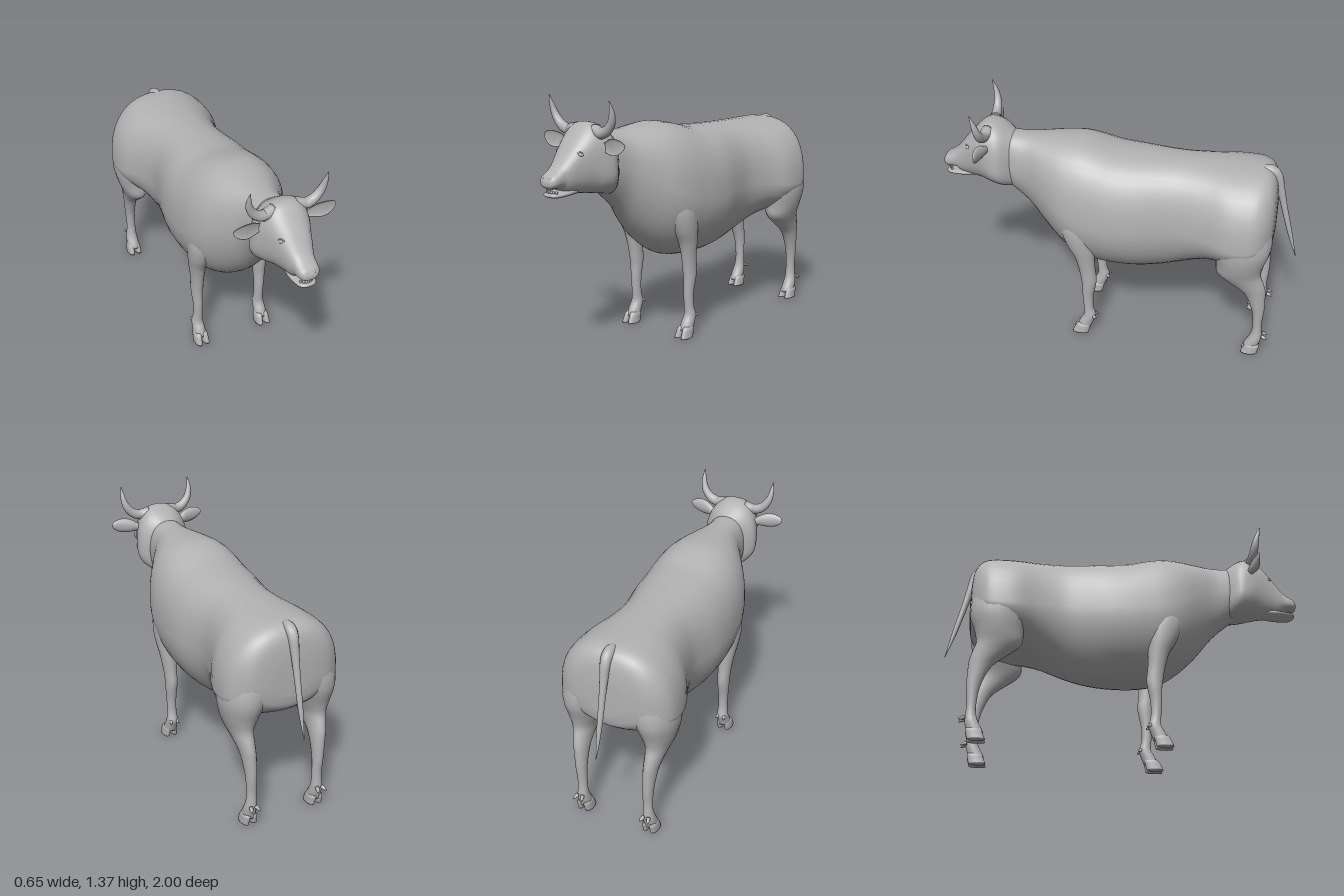
import * as THREE from 'three';

const hide = new THREE.MeshStandardMaterial({ color: 0xb2b2b2 });
hide.name = 'grey hide';

const spow = (v, p) => Math.sign(v) * Math.abs(v) ** p;

// Smoothly resample rows of section parameters
function smoothRows(rows, steps = 3) {
  const out = [];
  for (let i = 0; i < rows.length - 1; i++) {
    const [a, b, c, d] = [rows[Math.max(i - 1, 0)], rows[i], rows[i + 1], rows[Math.min(i + 2, rows.length - 1)]];
    for (let s = 0; s < steps; s++) {
      const t = s / steps;
      out.push(b.map((_, k) => b[k] + 0.5 * t * (c[k] - a[k] + t * (2 * a[k] - 5 * b[k] + 4 * c[k] - d[k]
        + t * (3 * (b[k] - c[k]) + d[k] - a[k])))));
    }
  }
  out.push(rows[rows.length - 1]);
  return out;
}

// Closed skin over a list of rings, always wound outwards
function skin(rings) {
  const n = rings[0].length, pos = [], idx = [];
  rings.forEach(r => r.forEach(p => pos.push(...p)));
  for (let i = 0; i < rings.length - 1; i++) {
    for (let j = 0; j < n; j++) {
      const a = i * n + j, b = i * n + (j + 1) % n;
      idx.push(a, b, a + n, b, b + n, a + n);
    }
  }
  [0, rings.length - 1].forEach((r, end) => {
    const c = pos.length / 3;
    pos.push(...[0, 1, 2].map(k => rings[r].reduce((s, p) => s + p[k], 0) / n));
    for (let j = 0; j < n; j++) {
      const a = r * n + j, b = r * n + (j + 1) % n;
      idx.push(...(end ? [a, b, c] : [b, a, c]));
    }
  });
  const v = i => new THREE.Vector3().fromArray(pos, i * 3);
  let volume = 0;
  for (let i = 0; i < idx.length; i += 3) volume += v(idx[i]).dot(v(idx[i + 1]).cross(v(idx[i + 2])));
  if (volume < 0) idx.reverse();
  const g = new THREE.BufferGeometry();
  g.setAttribute('position', new THREE.Float32BufferAttribute(pos, 3));
  g.setIndex(idx);
  g.computeVertexNormals();
  return g;
}

const ring = (n, f) => Array.from({ length: n }, (_, i) => f(Math.cos(i / n * 2 * Math.PI), Math.sin(i / n * 2 * Math.PI)));

// Sections along z: [z, top, bottom, half width, height of widest point]
function trunk(rows, upper = 2, lower = 2, n = 36) {
  return skin(smoothRows(rows).map(([z, top, bottom, w, mid]) => ring(n, (c, s) => {
    const p = 2 / (s > 0 ? upper : lower);
    return [w * spow(c, p), mid + (s > 0 ? top - mid : mid - bottom) * spow(s, p), z];
  })));
}

// Sections along y: [y, x, z, x radius, z radius]
function limb(rows, side, n = 20) {
  return skin(smoothRows(rows).map(([y, x, z, rx, rz]) => ring(n, (c, s) => [side * (x + rx * c), y, z + rz * s])));
}

// Round tapered tube: [x, y, z, radius]
function taper(rows, side = 1, n = 14) {
  const r = smoothRows(rows, 4);
  const path = r.map(([x, y, z]) => new THREE.Vector3(side * x, y, z));
  return skin(path.map((p, i) => {
    const t = path[Math.min(i + 1, r.length - 1)].clone().sub(path[Math.max(i - 1, 0)]).normalize();
    const u = new THREE.Vector3(side, 0, 0.3).cross(t).normalize();
    const w = t.clone().cross(u);
    return ring(n, (c, s) => p.clone().addScaledVector(u, c * r[i][3]).addScaledVector(w, s * r[i][3]).toArray());
  }));
}

export function createModel() {
  const model = new THREE.Group();
  model.name = 'cow';
  const add = (name, geometry) => {
    const m = new THREE.Mesh(geometry, hide);
    m.name = name;
    model.add(m);
    return m;
  };

  // Torso and neck
  add('body', trunk([
    [0.66, 1.17, 0.88, 0.09, 1.02], [0.6, 1.178, 0.835, 0.112, 1.0], [0.5, 1.176, 0.745, 0.13, 0.97],
    [0.4, 1.18, 0.62, 0.19, 0.92], [0.3, 1.187, 0.52, 0.25, 0.85], [0.2, 1.19, 0.452, 0.278, 0.8],
    [0.1, 1.172, 0.425, 0.286, 0.78], [0, 1.146, 0.415, 0.288, 0.77], [-0.12, 1.136, 0.416, 0.28, 0.77],
    [-0.24, 1.13, 0.43, 0.255, 0.78], [-0.36, 1.126, 0.465, 0.242, 0.78], [-0.5, 1.123, 0.525, 0.272, 0.77],
    [-0.62, 1.121, 0.56, 0.32, 0.75], [-0.74, 1.12, 0.59, 0.325, 0.75], [-0.8, 1.112, 0.62, 0.3, 0.77],
    [-0.84, 1.085, 0.65, 0.255, 0.8], [-0.864, 1.03, 0.68, 0.2, 0.82], [-0.875, 0.93, 0.74, 0.1, 0.83],
  ], 2.4, 1.9, 40));

  // Head, with the lower jaw set apart to open the mouth
  add('head', trunk([
    [0.56, 1.16, 0.86, 0.08, 0.99], [0.6, 1.187, 0.85, 0.12, 0.98], [0.65, 1.222, 0.863, 0.155, 0.99],
    [0.7, 1.241, 0.872, 0.15, 1.01], [0.74, 1.238, 0.878, 0.135, 1.04], [0.78, 1.208, 0.884, 0.118, 1.06],
    [0.84, 1.142, 0.89, 0.092, 1.04], [0.89, 1.08, 0.9, 0.073, 1.0], [0.92, 1.045, 0.925, 0.063, 0.985],
    [0.955, 1.017, 0.932, 0.06, 0.975], [0.98, 1.003, 0.934, 0.053, 0.97], [0.994, 0.985, 0.942, 0.038, 0.965],
    [1.0, 0.972, 0.953, 0.016, 0.963],
  ], 2.5, 2.3));
  add('lowerJaw', trunk([
    [0.8, 0.93, 0.89, 0.05, 0.91], [0.88, 0.922, 0.885, 0.06, 0.905], [0.94, 0.913, 0.884, 0.054, 0.9],
    [0.97, 0.912, 0.888, 0.046, 0.9], [0.986, 0.906, 0.894, 0.025, 0.9],
  ], 2.5, 2.2, 24));
  for (let i = -3; i <= 3; i++) {
    const tooth = add('tooth', new THREE.SphereGeometry(0.0065, 8, 6));
    tooth.scale.y = 1.5;
    tooth.position.set(i * 0.011, 0.916, 0.97 - 0.0018 * i * i);
  }

  // Tail
  add('tail', taper([
    [0, 1.09, -0.76, 0.025], [0, 1.092, -0.82, 0.03], [0, 1.06, -0.858, 0.028], [0, 0.98, -0.882, 0.022],
    [0, 0.86, -0.912, 0.017], [0, 0.7, -0.955, 0.013], [0, 0.55, -0.998, 0.002],
  ]));

  for (const side of [1, -1]) {
    const label = side > 0 ? 'left' : 'right';

    // Horn
    add(label + 'Horn', taper([
      [0.06, 1.2, 0.715, 0.035], [0.12, 1.193, 0.725, 0.03], [0.165, 1.212, 0.728, 0.026],
      [0.198, 1.253, 0.732, 0.021], [0.213, 1.305, 0.743, 0.014], [0.215, 1.366, 0.762, 0.002],
    ], side));

    // Cupped leaf-shaped ear: [x, y, z, half height, depth]
    add(label + 'Ear', skin(smoothRows([
      [0.1, 1.115, 0.715, 0.02, 0.018], [0.135, 1.122, 0.72, 0.023, 0.018], [0.17, 1.13, 0.73, 0.036, 0.022],
      [0.21, 1.134, 0.74, 0.043, 0.022], [0.25, 1.138, 0.742, 0.037, 0.017], [0.28, 1.143, 0.738, 0.02, 0.009],
      [0.291, 1.146, 0.735, 0.004, 0.003],
    ]).map(([x, y, z, h, d]) => ring(20, (c, s) => [side * x, y + h * c, z - d * Math.abs(s) * (s > 0 ? 0.4 : 1.2)]))));

    // Eye and lid
    const eye = add(label + 'Eye', new THREE.SphereGeometry(0.013, 14, 10));
    const lid = add(label + 'Eyelid', new THREE.TorusGeometry(0.015, 0.004, 8, 20));
    for (const m of [eye, lid]) {
      m.position.set(side * 0.083, 1.095, 0.832);
      m.rotation.set(0, side * 0.95, side * -0.35);
      m.scale.set(1.15, 0.8, 0.8);
    }

    // Nostril rim
    const nostril = add(label + 'Nostril', new THREE.TorusGeometry(0.013, 0.005, 8, 18));
    nostril.position.set(side * 0.031, 0.977, 0.985);
    nostril.rotation.set(-0.25, side * 0.55, 0);

    // Legs
    add(label + 'FrontLeg', limb([
      [0.9, 0.15, 0.2, 0.05, 0.06], [0.82, 0.165, 0.2, 0.085, 0.1], [0.72, 0.188, 0.198, 0.083, 0.1],
      [0.62, 0.202, 0.182, 0.064, 0.08], [0.54, 0.205, 0.16, 0.048, 0.058], [0.45, 0.202, 0.147, 0.038, 0.047],
      [0.38, 0.2, 0.138, 0.035, 0.045], [0.33, 0.2, 0.138, 0.033, 0.039], [0.25, 0.198, 0.145, 0.028, 0.031],
      [0.17, 0.198, 0.142, 0.027, 0.028], [0.12, 0.2, 0.135, 0.032, 0.035], [0.08, 0.2, 0.152, 0.035, 0.04],
      [0.04, 0.2, 0.168, 0.037, 0.041],
    ], side));
    add(label + 'HindLeg', limb([
      [0.95, 0.14, -0.69, 0.08, 0.1], [0.85, 0.17, -0.7, 0.135, 0.155], [0.72, 0.2, -0.71, 0.124, 0.158],
      [0.62, 0.21, -0.705, 0.098, 0.132], [0.55, 0.214, -0.702, 0.07, 0.122], [0.5, 0.212, -0.737, 0.053, 0.103],
      [0.45, 0.208, -0.778, 0.043, 0.077], [0.4, 0.204, -0.803, 0.037, 0.056], [0.3, 0.2, -0.825, 0.03, 0.036],
      [0.2, 0.197, -0.828, 0.027, 0.025], [0.14, 0.198, -0.828, 0.029, 0.029], [0.1, 0.2, -0.822, 0.034, 0.036],
      [0.06, 0.2, -0.806, 0.036, 0.042], [0.035, 0.2, -0.8, 0.037, 0.042],
    ], side));

    // Cloven hooves and dewclaws
    for (const [name, z] of [['Front', 0.188], ['Hind', -0.793]]) {
      for (const toe of [-1, 1]) {
        add(label + name + 'Hoof', limb([
          [0.062, 0.2 + toe * 0.017, z - 0.02, 0.014, 0.034], [0.05, 0.2 + toe * 0.019, z - 0.016, 0.021, 0.042],
          [0.025, 0.2 + toe * 0.021, z - 0.008, 0.021, 0.045], [0, 0.2 + toe * 0.023, z, 0.021, 0.047],
        ], side, 16));
        add(label + name + 'Dewclaw', taper([
          [0.2 + toe * 0.014, 0.122, z - 0.065, 0.011], [0.2 + toe * 0.02, 0.115, z - 0.083, 0.009],
          [0.2 + toe * 0.025, 0.107, z - 0.096, 0.002],
        ], side, 8));
      }
    }
  }
  return model;
}
